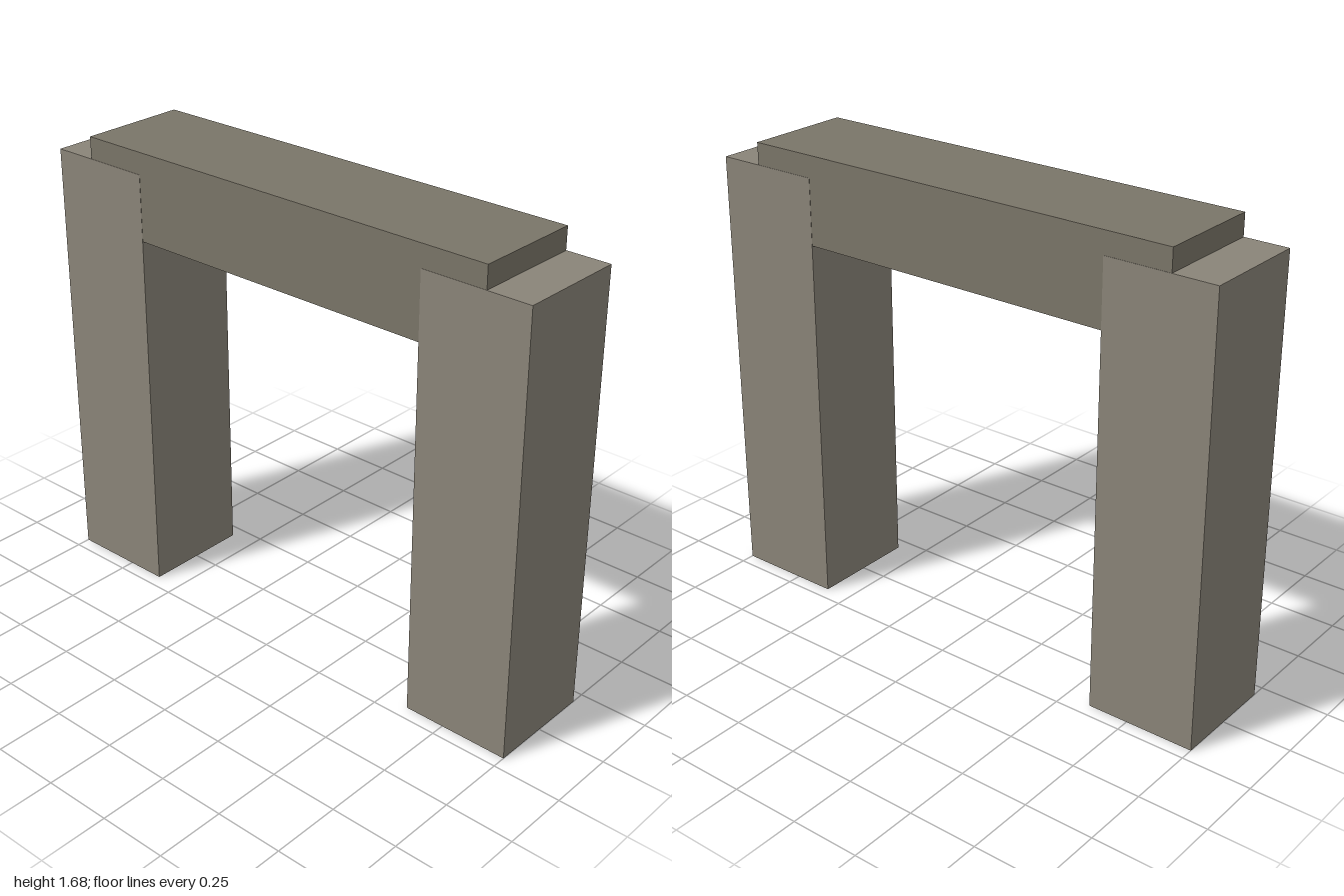
import * as THREE from 'three';

export function createModel() {
  const group = new THREE.Group();
  const pillarStone = new THREE.MeshStandardMaterial({ color: 0x8a8478 });
  const lintelStone = new THREE.MeshStandardMaterial({ color: 0x7a7568 });

  const addBlock = (name, size, x, y, material) => {
    const mesh = new THREE.Mesh(new THREE.BoxGeometry(...size), material);
    mesh.name = name;
    mesh.position.set(x, y, 0);
    group.add(mesh);
  };

  // Two upright pillars
  for (const side of [1, -1]) {
    addBlock(side > 0 ? 'leftPillar' : 'rightPillar', [0.4, 1.6, 0.4], side * 0.8, 0.8, pillarStone);
  }

  // Lintel let into the pillar tops, a hair thinner so the faces do not coincide
  addBlock('lintel', [1.68, 0.32, 0.398], 0, 1.52, lintelStone);

  return group;
}
